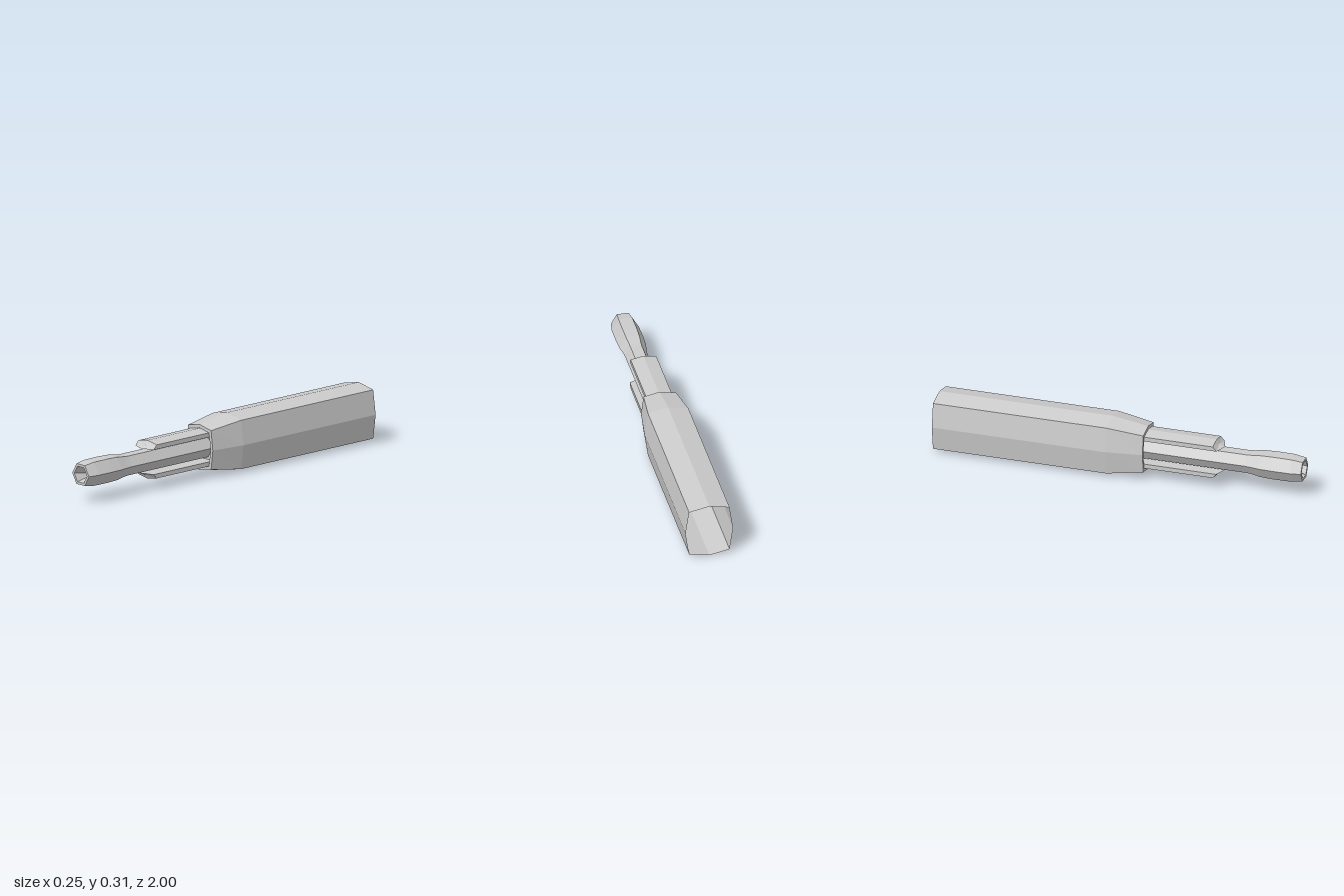
import * as THREE from 'three';

const CY = 0.155; // height of the long axis

// Skin a list of rings (corners counter-clockwise seen from the front), ordered
// back to front along the surface; optional fans close the first and last ring.
function loft(name, rings, { capStart = false, capEnd = false } = {}) {
  const pos = [];
  const tri = (...pts) => pts.forEach((p) => pos.push(...p));
  const n = rings[0].length;
  for (let r = 0; r + 1 < rings.length; r++) {
    const a = rings[r], b = rings[r + 1];
    for (let i = 0; i < n; i++) {
      const j = (i + 1) % n;
      tri(a[i], a[j], b[j]);
      tri(a[i], b[j], b[i]);
    }
  }
  const fan = (ring, front) => {
    const c = [0, 1, 2].map((k) => ring.reduce((s, p) => s + p[k], 0) / n);
    for (let i = 0; i < n; i++) {
      const p = ring[i], q = ring[(i + 1) % n];
      front ? tri(c, p, q) : tri(c, q, p);
    }
  };
  if (capStart) fan(rings[0], false);
  if (capEnd) fan(rings[rings.length - 1], true);
  const geo = new THREE.BufferGeometry();
  geo.setAttribute('position', new THREE.Float32BufferAttribute(pos, 3));
  geo.computeVertexNormals();
  const mat = new THREE.MeshStandardMaterial({
    color: 0xcccccc, flatShading: true, side: THREE.DoubleSide,
  });
  const mesh = new THREE.Mesh(geo, mat);
  mesh.name = name;
  return mesh;
}

// Eight-cornered handle section: half width at the middle, corner, half height
const handleRing = (w, cx, cy, h, z) =>
  [[w, 0], [cx, cy], [0, h], [-cx, cy], [-w, 0], [-cx, -cy], [0, -h], [cx, -cy]]
    .map(([x, y]) => [x, CY + y, z]);

// Hexagon with corners left and right
const hexRing = (r, z) => Array.from({ length: 6 }, (_, i) => {
  const a = i * Math.PI / 3;
  return [r * Math.cos(a), CY + r * Math.sin(a), z];
});

export function createModel() {
  const group = new THREE.Group();

  // Hollow handle, open at the back, with a front rim and recessed front wall
  group.add(loft('handle', [
    handleRing(0.127, 0.108, 0.131, 0.153, -1),
    handleRing(0.127, 0.108, 0.131, 0.153, -0.05),
    handleRing(0.1, 0.087, 0.105, 0.123, 0.145),
    handleRing(0.083, 0.071, 0.091, 0.105, 0.145),
    handleRing(0.083, 0.071, 0.091, 0.105, 0.11),
  ], { capEnd: true }));

  // Hexagonal rod with a swollen tip; the socket narrows to a triangular floor
  const socketFloor = [[0.016, 0.165], [0, 0.194], [0, 0.194],
    [-0.016, 0.165], [-0.032, 0.136], [0.032, 0.136]].map(([x, y]) => [x, y, 0.85]);
  const rodProfile = [[0.06, 0.1], [0.06, 0.69], [0.063, 0.72], [0.071, 0.77],
    [0.074, 0.84], [0.073, 0.94], [0.063, 1], [0.048, 1]];
  group.add(loft('rod', [
    ...rodProfile.map(([r, z]) => hexRing(r, z)), socketFloor,
  ], { capEnd: true }));

  // Two guide blades with slanted ends, above and below the rod
  for (const s of [1, -1]) {
    // corners: x, distance from the axis, z of the slanted end
    const corners = [[0.069, 0.066, 0.54], [0.069, 0.09, 0.52], [0, 0.103, 0.52],
      [-0.069, 0.09, 0.52], [-0.069, 0.066, 0.54], [0, 0.066, 0.567]];
    if (s < 0) corners.reverse();
    group.add(loft(s > 0 ? 'upperBlade' : 'lowerBlade', [
      corners.map(([x, d]) => [x, CY + s * d, 0.1]),
      corners.map(([x, d, z]) => [x, CY + s * d, z]),
    ], { capStart: true, capEnd: true }));
  }
  return group;
}
